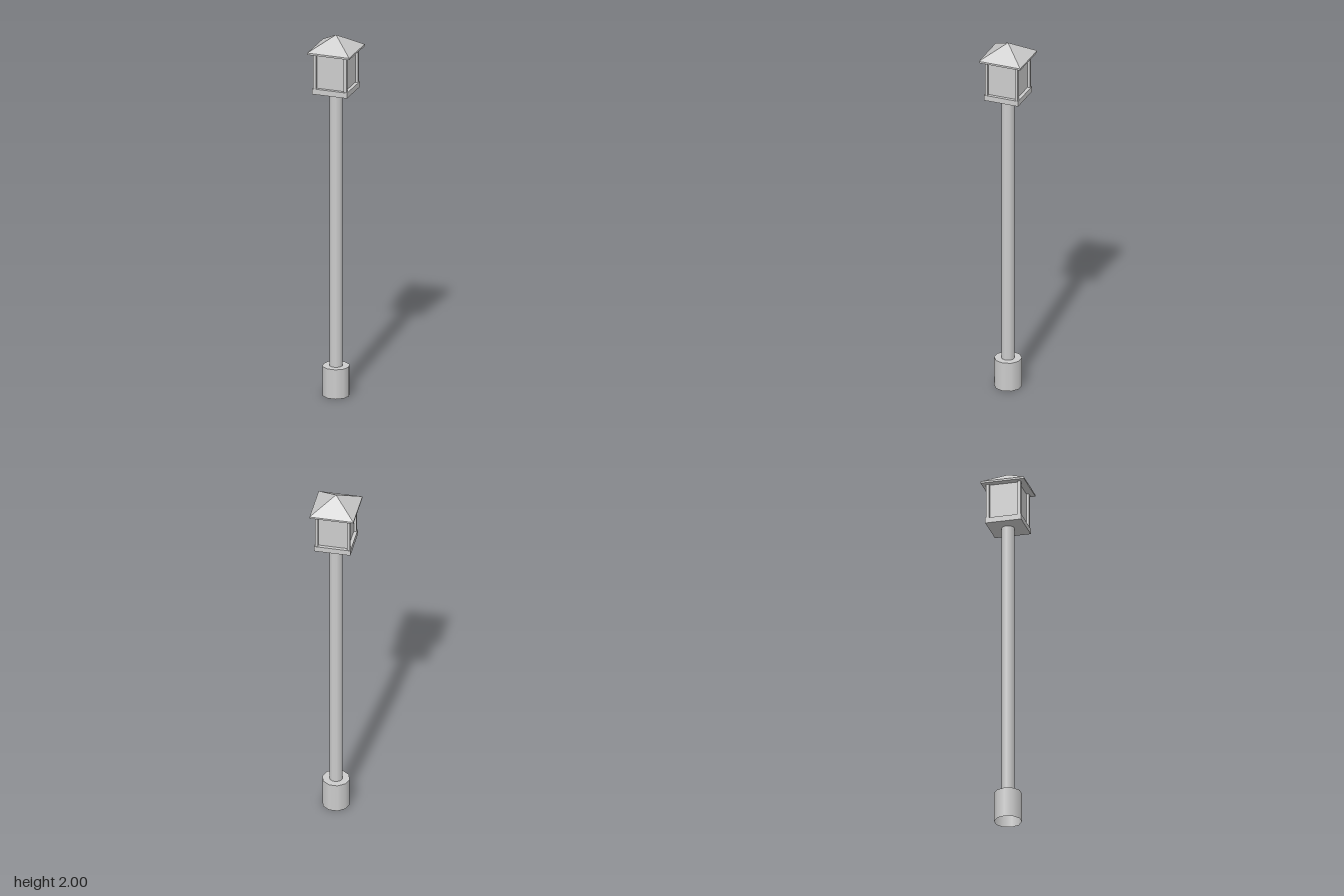
import * as THREE from 'three';

export function createModel() {
  const model = new THREE.Group();
  model.name = 'lampPost';
  const grey = new THREE.MeshStandardMaterial({ color: 0xcccccc, side: THREE.DoubleSide });
  grey.name = 'grey';

  const add = (name, geometry, x, y, z) => {
    const mesh = new THREE.Mesh(geometry, grey);
    mesh.name = name;
    mesh.position.set(x, y, z);
    model.add(mesh);
    return mesh;
  };
  const box = (name, w, y0, y1, x = 0, z = 0) =>
    add(name, new THREE.BoxGeometry(w, y1 - y0, w), x, (y0 + y1) / 2, z);

  // Ten-sided foot sleeve, open underneath, closed by a flat top
  const foot = add('foot', new THREE.CylinderGeometry(0.073, 0.073, 0.163, 10, 1, true), 0, 0.0815, 0);
  foot.rotation.y = Math.PI / 2;
  const footTop = add('footTop', new THREE.CircleGeometry(0.073, 10), 0, 0.163, 0);
  footTop.rotation.x = -Math.PI / 2;

  // Pole
  const pole = add('pole', new THREE.CylinderGeometry(0.035, 0.035, 1.53, 10), 0, 0.925, 0);
  pole.rotation.y = Math.PI / 2;

  // Lantern: tray, recessed panes and four corner posts
  box('lanternTray', 0.194, 1.69, 1.72);
  box('lanternPanes', 0.158, 1.72, 1.915);
  for (const sx of [-1, 1]) {
    for (const sz of [-1, 1]) box('cornerPost', 0.016, 1.72, 1.915, sx * 0.085, sz * 0.085);
  }

  // Roof: thin eaves slab and a four-sided pyramid
  box('eaves', 0.234, 1.913, 1.923);
  const pyramid = new THREE.ConeGeometry(0.117 * Math.SQRT2, 0.077, 4, 1, true)
    .rotateY(Math.PI / 4).toNonIndexed();
  pyramid.computeVertexNormals();
  add('roof', pyramid, 0, 1.9615, 0);

  return model;
}
